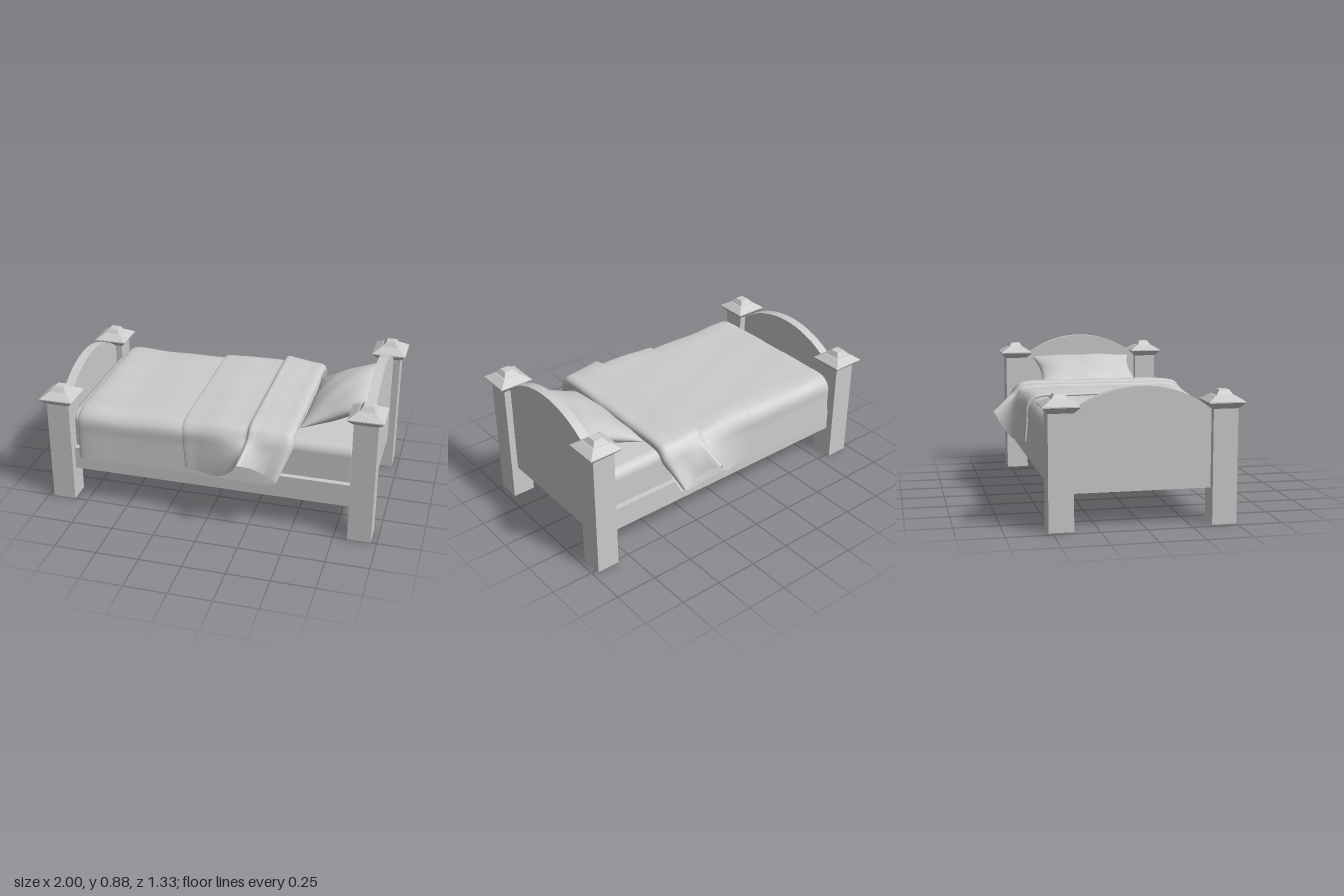
import * as THREE from 'three';
import { RoundedBoxGeometry } from 'three/addons/geometries/RoundedBoxGeometry.js';

const ZC = -0.01; // middle line of the bed
const hard = new THREE.MeshStandardMaterial({ color: 0xcccccc, flatShading: true });
const soft = new THREE.MeshStandardMaterial({ color: 0xcccccc });
const cloth = new THREE.MeshStandardMaterial({ color: 0xcccccc, side: THREE.DoubleSide });

function add(parent, name, geometry, material, x = 0, y = 0, z = 0) {
  const mesh = new THREE.Mesh(geometry, material);
  mesh.name = name;
  mesh.position.set(x, y, z);
  parent.add(mesh);
  return mesh;
}

// Smooth surface from rows of points
function surface(rows) {
  const n = rows[0].length, index = [];
  for (let i = 0; i < rows.length - 1; i++) {
    for (let j = 0; j < n - 1; j++) {
      const a = i * n + j, b = a + n;
      index.push(a, a + 1, b, b, a + 1, b + 1);
    }
  }
  const g = new THREE.BufferGeometry().setFromPoints(rows.flat());
  g.setIndex(index);
  g.computeVertexNormals();
  return g;
}

// Cloth draped over the mattress.
// Station: x, top height, half width at the shoulder, hem z, hem y, hem x
function drape(stations, nx, nz) {
  const sections = stations.map(([x, top, half, hemZ, hemY, hemX = x]) => {
    const at = (t) => [x + (hemX - x) * t, top - 0.06 + (hemY - top + 0.06) * t, half + (hemZ - half) * t];
    const side = [[x, top, 0], [x, top, half - 0.2], [x, top - 0.002, half - 0.1],
      [x, top - 0.015, half - 0.04], at(0), at(0.35), at(0.7), at(1)];
    const all = [...side.slice(1).reverse().map(([a, b, c]) => [a, b, -c]), ...side];
    return new THREE.CatmullRomCurve3(all.map(([a, b, c]) => new THREE.Vector3(a, b, c + ZC)));
  });
  const rows = [];
  for (let j = 0; j <= nz; j++) {
    const along = new THREE.CatmullRomCurve3(sections.map((s) => s.getPoint(j / nz)));
    rows.push(along.getPoints(nx).map((p) => {
      p.y += 0.003 * Math.sin(p.x * 13 + p.z * 9) * Math.sin(p.z * 11 - p.x * 5);
      return p;
    }));
  }
  return surface(rows);
}

// Stepped square cap on a post
function capGeometry() {
  const profile = [[0, 0], [0.068, 0], [0.1, 0.032], [0.1, 0.038], [0.054, 0.068],
    [0.046, 0.07], [0.027, 0.097], [0, 0.097]];
  return new THREE.LatheGeometry(
    profile.map(([r, y]) => new THREE.Vector2(r * Math.SQRT2, y)), 4, Math.PI / 4);
}

// Board with an arched top, standing across the bed
function archedBoard(top) {
  const R = 0.596, w = 0.43, base = 0.195, a = Math.asin(w / R);
  const s = new THREE.Shape();
  s.moveTo(-w, base);
  s.lineTo(w, base);
  s.absarc(0, top - R, R, Math.PI / 2 - a, Math.PI / 2 + a, false);
  s.closePath();
  const g = new THREE.ExtrudeGeometry(s, { depth: 0.055, bevelEnabled: false, curveSegments: 32 });
  g.translate(0, 0, -0.0275);
  g.rotateY(Math.PI / 2);
  return g;
}

// Cushion with pinched corners and bowed edges
function pillowGeometry() {
  const rows = [], N = 40, M = 48;
  for (let i = 0; i <= N; i++) {
    const w = Math.sin((i / N - 0.5) * Math.PI), row = [];
    for (let j = 0; j <= M; j++) {
      const t = (j / M) * Math.PI * 2, c = Math.cos(t);
      const x = c * 0.205 * (0.9 + 0.1 * w * w);
      const z = w * 0.33 * (0.9 + 0.1 * c * c);
      const puff = Math.sin(t) * Math.pow(Math.max(0, 1 - w * w), 0.45);
      const crease = 0.005 * Math.sin(z * 22 + x * 14) * Math.cos(x * 19) * Math.abs(puff);
      row.push(new THREE.Vector3(x, puff * 0.075 + crease, z));
    }
    rows.push(row);
  }
  return surface(rows);
}

export function createModel() {
  const bed = new THREE.Group();
  bed.name = 'bed';

  // Foot end and head end: arched board between two capped posts
  const ends = [['foot', -0.898, 0.627, 0.755], ['head', 0.898, 0.742, 0.885]];
  for (const [name, x, postTop, boardTop] of ends) {
    const end = new THREE.Group();
    end.name = name + 'End';
    bed.add(end);
    add(end, name + 'Board', archedBoard(boardTop), hard, x, 0, ZC);
    for (const side of [-1, 1]) {
      const z = ZC + side * 0.443;
      add(end, name + 'Post', new THREE.BoxGeometry(0.136, postTop, 0.136), hard, x, postTop / 2, z);
      add(end, name + 'PostCap', capGeometry(), hard, x, postTop, z);
    }
  }

  // Side rails
  for (const side of [-1, 1]) {
    add(bed, 'sideRail', new THREE.BoxGeometry(1.7, 0.138, 0.05), hard, 0, 0.261, ZC + side * 0.442);
  }

  // Mattress
  add(bed, 'mattress', new RoundedBoxGeometry(1.735, 0.345, 0.87, 5, 0.06), soft, 0, 0.3775, ZC);

  // Pillow leaning on the headboard
  const pillow = add(bed, 'pillow', pillowGeometry(), cloth, 0.685, 0.66, ZC);
  pillow.rotation.z = 0.42;

  // Blanket, its foot edge turned in against the mattress
  add(bed, 'blanket', drape([
    [-0.76, 0.553, 0.46, 0.475, 0.3],
    [-0.785, 0.575, 0.485, 0.5, 0.292],
    [-0.775, 0.596, 0.5, 0.51, 0.29],
    [-0.5, 0.602, 0.5, 0.512, 0.293],
    [-0.2, 0.607, 0.498, 0.51, 0.293],
    [0, 0.602, 0.492, 0.51, 0.292],
    [0.2, 0.597, 0.485, 0.52, 0.29],
    [0.34, 0.59, 0.48, 0.54, 0.297, 0.32],
    [0.48, 0.575, 0.47, 0.565, 0.33, 0.42],
  ], 90, 70), cloth);

  // Turned-back part with flared sides, raised ridge and rolled head edge
  add(bed, 'blanketFold', drape([
    [-0.142, 0.604, 0.496, 0.508, 0.345, -0.122],
    [-0.145, 0.616, 0.504, 0.518, 0.335, -0.125],
    [-0.05, 0.622, 0.508, 0.53, 0.328],
    [0.05, 0.625, 0.515, 0.565, 0.33],
    [0.13, 0.622, 0.525, 0.605, 0.37],
    [0.19, 0.62, 0.53, 0.64, 0.43],
    [0.235, 0.622, 0.53, 0.665, 0.475, 0.215],
    [0.25, 0.647, 0.535, 0.663, 0.474, 0.225],
    [0.3, 0.645, 0.53, 0.62, 0.445, 0.28],
    [0.4, 0.635, 0.525, 0.59, 0.4, 0.35],
    [0.485, 0.628, 0.515, 0.612, 0.375, 0.43],
    [0.502, 0.605, 0.5, 0.6, 0.37, 0.435],
    [0.48, 0.56, 0.47, 0.58, 0.37, 0.425],
  ], 110, 80), cloth);

  return bed;
}
